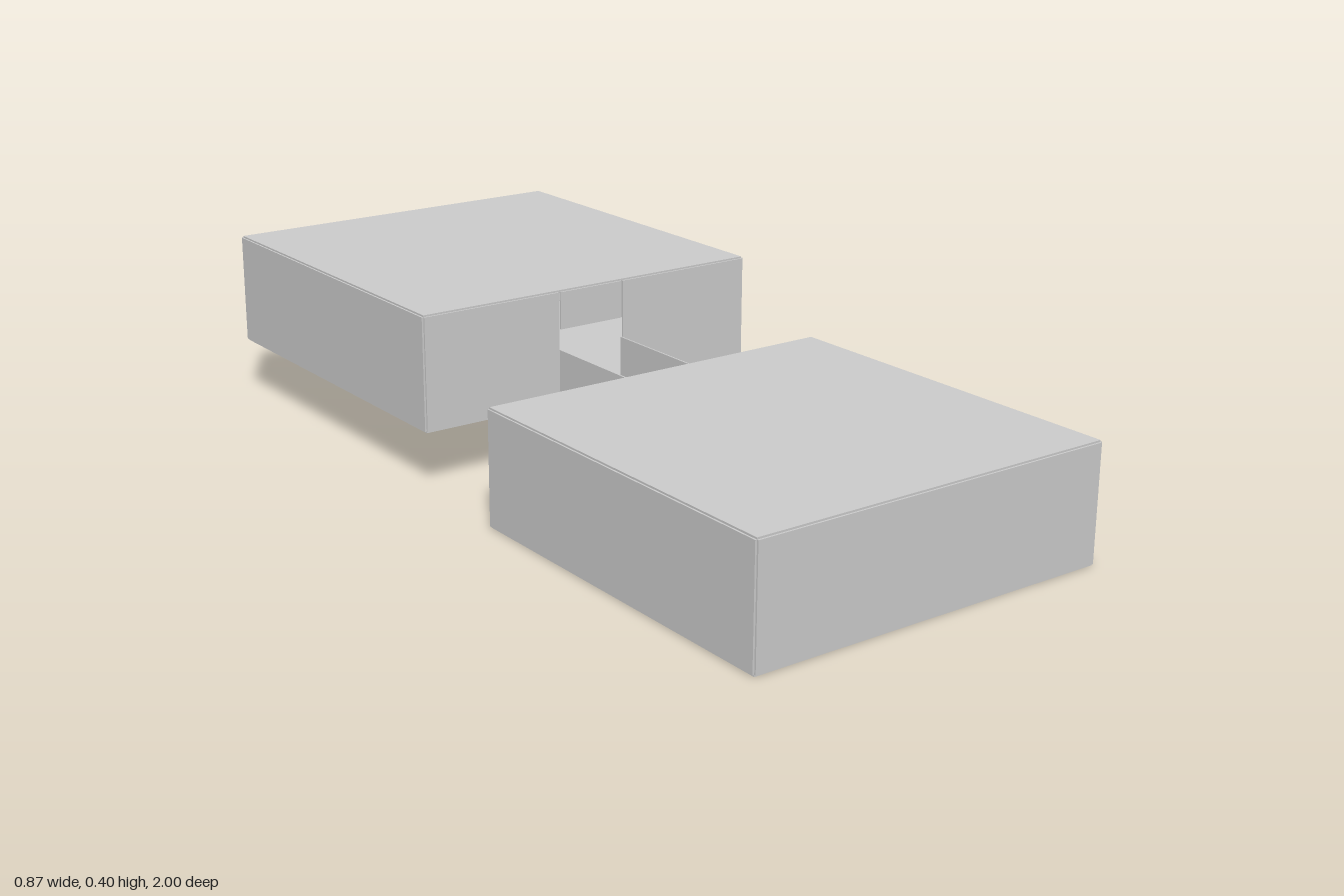
import * as THREE from 'three';

const material = new THREE.MeshStandardMaterial({ color: 0xcccccc, flatShading: true });

const W = 0.436;      // half width of a room
const D = 0.875;      // depth of a room
const H = 0.265;      // height of a room
const T = 0.004;      // panel thickness
const DOOR = 0.087;   // half width of the doorway
const LINTEL = 0.175; // underside of the lintel above the room's floor

// Box given by its minimum and maximum corners
function panel(parent, name, min, max) {
  const size = max.map((v, i) => v - min[i]);
  const mesh = new THREE.Mesh(new THREE.BoxGeometry(...size), material);
  mesh.position.set(...max.map((v, i) => (v + min[i]) / 2));
  mesh.name = name;
  parent.add(mesh);
}

// Hollow room of thin panels that leave a fine notch along every edge.
// The doorway is in its +z wall.
function createRoom(name) {
  const room = new THREE.Group();
  room.name = name;
  const w = W - T, h = H - T, d = D / 2, e = d - T;

  panel(room, 'floor', [-w, 0, -e], [w, T, e]);
  panel(room, 'ceiling', [-w, h, -e], [w, H, e]);
  panel(room, 'backWall', [-w, T, -d], [w, h, -e]);
  for (const s of [-1, 1]) {
    const side = s > 0 ? 'left' : 'right';
    panel(room, side + 'Wall', [s > 0 ? w : -W, T, -e], [s > 0 ? W : -w, h, e]);
    panel(room, side + 'DoorWall', [s > 0 ? DOOR : -w, T, e], [s > 0 ? w : -DOOR, h, d]);
  }
  panel(room, 'lintel', [-DOOR + T, LINTEL, e], [DOOR - T, h, d]);
  return room;
}

// Stairway rising from the front room to the back room
function createStairs() {
  const stairs = new THREE.Group();
  stairs.name = 'stairway';
  const front = 0.125, back = -0.13, rise = 0.135, count = 11;
  const run = (front - back) / count, step = rise / count;

  for (let i = 0; i < count; i++) {
    panel(stairs, 'step' + (i + 1),
      [-DOOR + T, i * step, front - (i + 1) * run],
      [DOOR - T, (i + 1) * step, front - i * run]);
  }
  for (const s of [-1, 1]) {
    const a = s * DOOR, b = s * (DOOR - T);
    panel(stairs, s > 0 ? 'leftStairWall' : 'rightStairWall',
      [Math.min(a, b), 0, back], [Math.max(a, b), 0.263, front]);
  }
  return stairs;
}

export function createModel() {
  const model = new THREE.Group();
  model.name = 'roomsWithStairway';

  const frontRoom = createRoom('frontRoom');
  frontRoom.rotation.y = Math.PI;
  frontRoom.position.set(0, 0, 1 - D / 2);

  const backRoom = createRoom('backRoom');
  backRoom.position.set(0, 0.135, -1 + D / 2);

  model.add(frontRoom, backRoom, createStairs());
  return model;
}
